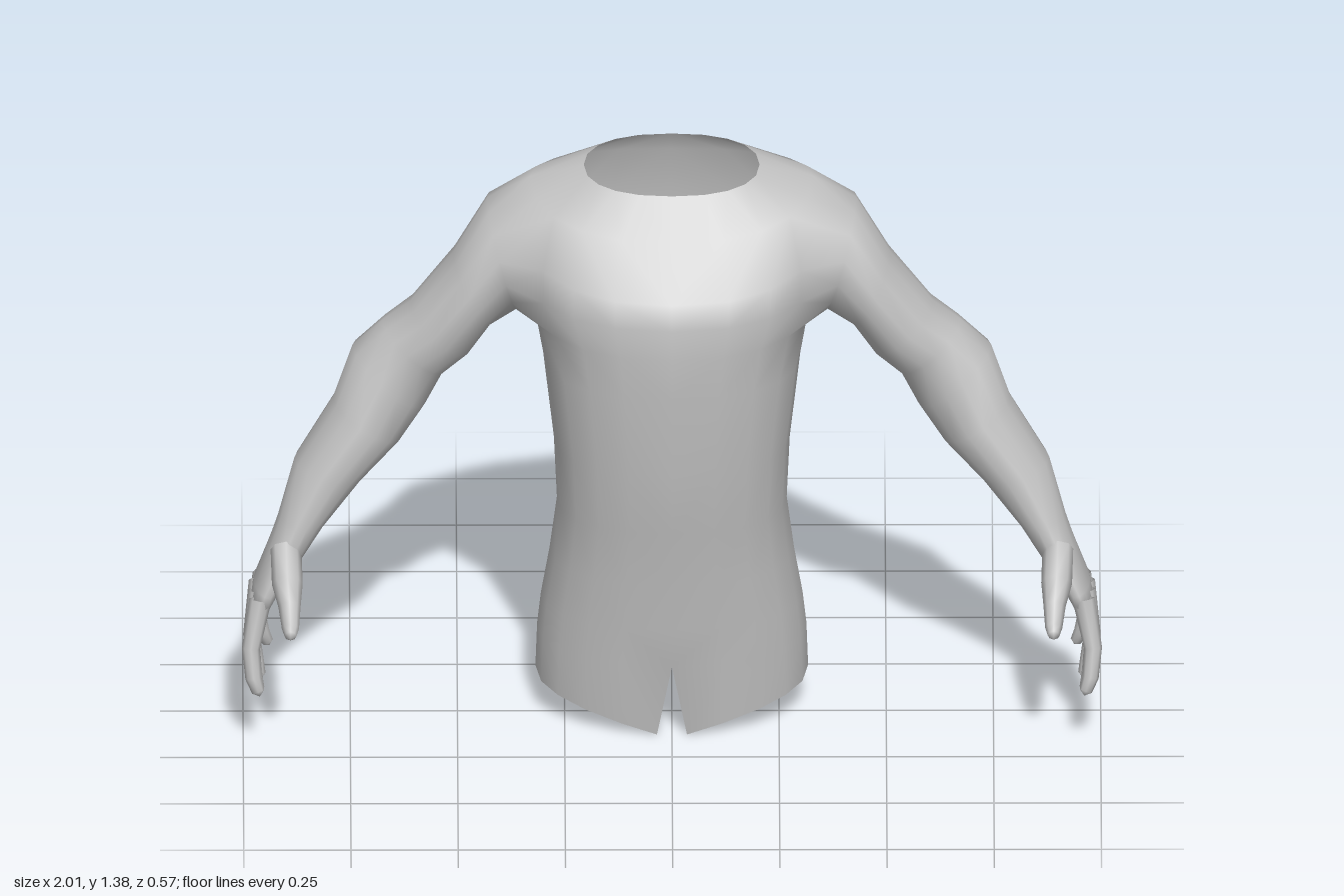
import * as THREE from 'three';
import { mergeGeometries, mergeVertices } from 'three/addons/utils/BufferGeometryUtils.js';

const COLS = 10;            // columns from front centre, round the side, to back centre
const HOLE = { r0: 1, r1: 4, c0: 3, c1: 7 };  // armhole in the torso grid

// Torso rows, top down: y front, y side, y back, half width, z front, z side, z back, cleft depth
const ROWS = [
  [1.33, 1.355, 1.38, 0.205, 0.0, -0.12, -0.235, 0],
  [1.245, 1.325, 1.33, 0.33, 0.075, -0.12, -0.26, 0],
  [1.13, 1.23, 1.22, 0.36, 0.175, -0.11, -0.28, 0],
  [1.07, 1.13, 1.12, 0.36, 0.19, -0.10, -0.285, 0],
  [1.0, 1.03, 1.03, 0.325, 0.2, -0.09, -0.28, 0],
  [0.9, 0.9, 0.9, 0.3, 0.2, -0.06, -0.255, 0],
  [0.7, 0.7, 0.7, 0.275, 0.195, -0.02, -0.16, 0],
  [0.54, 0.54, 0.54, 0.268, 0.175, -0.03, -0.18, 0.01],
  [0.4, 0.4, 0.4, 0.285, 0.16, -0.05, -0.25, 0.045],
  [0.28, 0.28, 0.28, 0.305, 0.15, -0.06, -0.29, 0.1],
  [0.18, 0.2, 0.2, 0.314, 0.14, -0.06, -0.288, 0.13],
];

// Arm sections: outer x y, inner x y, z front, z back
const ARM = [
  [0.43, 1.275, 0.36, 1.0, 0.02, -0.24],
  [0.51, 1.14, 0.42, 0.97, 0.03, -0.225],
  [0.61, 1.02, 0.47, 0.9, 0.03, -0.2],
  [0.675, 0.97, 0.53, 0.845, 0.015, -0.188],
  [0.745, 0.91, 0.575, 0.76, 0.025, -0.178],
  [0.79, 0.79, 0.63, 0.69, 0.055, -0.155],
  [0.88, 0.65, 0.72, 0.605, 0.08, -0.11],
  [0.918, 0.53, 0.81, 0.505, 0.1, -0.025],
  [0.945, 0.45, 0.86, 0.43, 0.125, -0.035],
  [0.975, 0.37, 0.91, 0.36, 0.155, -0.04],
  [0.985, 0.32, 0.935, 0.315, 0.16, -0.038],
];

// Finger and thumb paths: x, y, z, radius
const FINGERS = {
  indexFinger: [[0.96, 0.35, 0.132, 0.026], [0.982, 0.24, 0.165, 0.021], [0.976, 0.175, 0.188, 0.019], [0.965, 0.145, 0.198, 0.015]],
  middleFinger: [[0.962, 0.35, 0.08, 0.026], [0.981, 0.22, 0.105, 0.02], [0.974, 0.15, 0.118, 0.019], [0.965, 0.118, 0.125, 0.015]],
  ringFinger: [[0.962, 0.35, 0.03, 0.025], [0.98, 0.22, 0.048, 0.02], [0.97, 0.155, 0.057, 0.019], [0.962, 0.125, 0.062, 0.015]],
  littleFinger: [[0.955, 0.35, -0.012, 0.023], [0.968, 0.26, -0.019, 0.018], [0.955, 0.195, -0.024, 0.017], [0.943, 0.168, -0.026, 0.014]],
  thumb: [[0.9, 0.46, 0.085, 0.036], [0.897, 0.405, 0.16, 0.036], [0.892, 0.37, 0.21, 0.026], [0.89, 0.335, 0.255, 0.02], [0.89, 0.327, 0.278, 0.014]],
};

function makeGeometry(pos, idx) {
  const g = new THREE.BufferGeometry();
  g.setAttribute('position', new THREE.Float32BufferAttribute(pos, 3));
  g.setIndex(idx);
  return g;
}

// Mirror across x = 0 and flip the faces
function mirrored(geo) {
  const g = geo.clone().scale(-1, 1, 1);
  const a = g.index.array;
  for (let i = 0; i < a.length; i += 3) [a[i + 1], a[i + 2]] = [a[i + 2], a[i + 1]];
  return g;
}

// Small mesh builder: points, quads and bridges between equal rings
function builder() {
  const pos = [], idx = [];
  const add = (x, y, z) => pos.push(x, y, z) / 3 - 1;
  const quad = (a, b, d, e) => idx.push(a, b, d, b, e, d);
  const bridge = (A, B) => A.forEach((_, i) => {
    const j = (i + 1) % A.length;
    quad(A[i], B[i], A[j], B[j]);
  });
  const cap = (A, tip) => A.forEach((a, i) => idx.push(a, tip, A[(i + 1) % A.length]));
  return { add, quad, bridge, cap, build: () => makeGeometry(pos, idx) };
}

function halfBody() {
  const m = builder();
  const bend = v => Math.sign(v) * Math.pow(Math.abs(v), 0.85);

  // Torso point in a row and column
  const point = ([yf, ys, yb, w, zf, zs, zb, cleft], c) => {
    const t = c / COLS * Math.PI, k = Math.cos(t), q = bend(k);
    const x = c % COLS === 0 ? 0 : w * bend(Math.sin(t));
    const y = ys + Math.abs(k) * ((k > 0 ? yf : yb) - ys);
    const z = zs + Math.abs(q) * ((k > 0 ? zf : zb) - zs) + (c === COLS ? cleft : 0);
    return [x, y, z];
  };
  const grid = ROWS.map(row => Array.from({ length: COLS + 1 }, (_, c) => m.add(...point(row, c))));
  for (let r = 0; r < ROWS.length - 1; r++) {
    for (let c = 0; c < COLS; c++) {
      if (r >= HOLE.r0 && r < HOLE.r1 && c >= HOLE.c0 && c < HOLE.c1) continue;
      m.quad(grid[r][c], grid[r + 1][c], grid[r][c + 1], grid[r + 1][c + 1]);
    }
  }

  // Thigh stump with a slanted open end
  const inner = [[0.16, -0.08], [0.15, 0.0], [0.155, 0.075]];
  const top = [...grid[ROWS.length - 1], ...inner.map(([y, z]) => m.add(0, y, z))];
  const hem = (x, z) => Math.max(0, -0.01 + 0.3 * x + 0.42 * Math.max(0, -z - 0.05));
  const bottom = [];
  for (let c = 0; c <= COLS; c++) {
    let [x, , z] = point([0, 0, 0, 0.318, 0.13, -0.06, -0.282, 0.1], c);
    x = Math.max(0.035, x);
    bottom.push(m.add(x, hem(x, z), z));
  }
  inner.forEach(([, z]) => bottom.push(m.add(0.03, hem(0.03, z), z)));
  m.bridge(top, bottom);

  // Arm grown from the armhole, down to the knuckles
  let ring = [];
  for (let c = HOLE.c0; c < HOLE.c1; c++) ring.push(grid[HOLE.r0][c]);
  for (let r = HOLE.r0; r < HOLE.r1; r++) ring.push(grid[r][HOLE.c1]);
  for (let c = HOLE.c1; c > HOLE.c0; c--) ring.push(grid[HOLE.r1][c]);
  for (let r = HOLE.r1; r > HOLE.r0; r--) ring.push(grid[r][HOLE.c0]);
  for (const [ox, oy, ix, iy, zf, zb] of ARM) {
    const next = ring.map((_, i) => {
      const t = (i - 2) / ring.length * Math.PI * 2, k = Math.cos(t) / 2;
      return m.add((ox + ix) / 2 + k * (ox - ix), (oy + iy) / 2 + k * (oy - iy),
        (zf + zb) / 2 - Math.sin(t) * (zf - zb) / 2);
    });
    m.bridge(ring, next);
    ring = next;
  }
  m.cap(ring, m.add(0.962, 0.298, 0.06));
  return m.build();
}

// Tapered finger with a rounded tip
function finger(path) {
  const m = builder(), SIDES = 8;
  const pts = path.map(p => new THREE.Vector3(p[0], p[1], p[2]));
  let ring = null;
  pts.forEach((p, i) => {
    const dir = pts[Math.min(i + 1, pts.length - 1)].clone().sub(pts[Math.max(i - 1, 0)]).normalize();
    const u = new THREE.Vector3(1, 0, 0).addScaledVector(dir, -dir.x).normalize();
    const v = dir.clone().cross(u);
    const next = Array.from({ length: SIDES }, (_, k) => {
      const t = -k / SIDES * Math.PI * 2;
      const q = p.clone().addScaledVector(u, Math.cos(t) * path[i][3]).addScaledVector(v, Math.sin(t) * path[i][3]);
      return m.add(q.x, q.y, q.z);
    });
    if (ring) m.bridge(ring, next);
    ring = next;
    if (i === pts.length - 1) {
      const tip = p.clone().addScaledVector(dir, path[i][3] * 0.8);
      m.cap(ring, m.add(tip.x, tip.y, tip.z));
    }
  });
  return m.build();
}

export function createModel() {
  const group = new THREE.Group();
  group.name = 'torsoWithArms';
  const grey = new THREE.MeshStandardMaterial({ color: 0xbcbcbc, side: THREE.DoubleSide });
  grey.name = 'plainGrey';

  const addMesh = (geo, name) => {
    geo.computeVertexNormals();
    const mesh = new THREE.Mesh(geo, grey);
    mesh.name = name;
    group.add(mesh);
  };

  // Body and arms as one smooth skin
  const half = halfBody();
  addMesh(mergeVertices(mergeGeometries([half, mirrored(half)]), 1e-4), 'body');

  // Fingers and thumbs on both hands
  for (const [name, path] of Object.entries(FINGERS)) {
    const geo = finger(path);
    addMesh(mirrored(geo), name + 'Right');
    addMesh(geo, name + 'Left');
  }
  return group;
}
